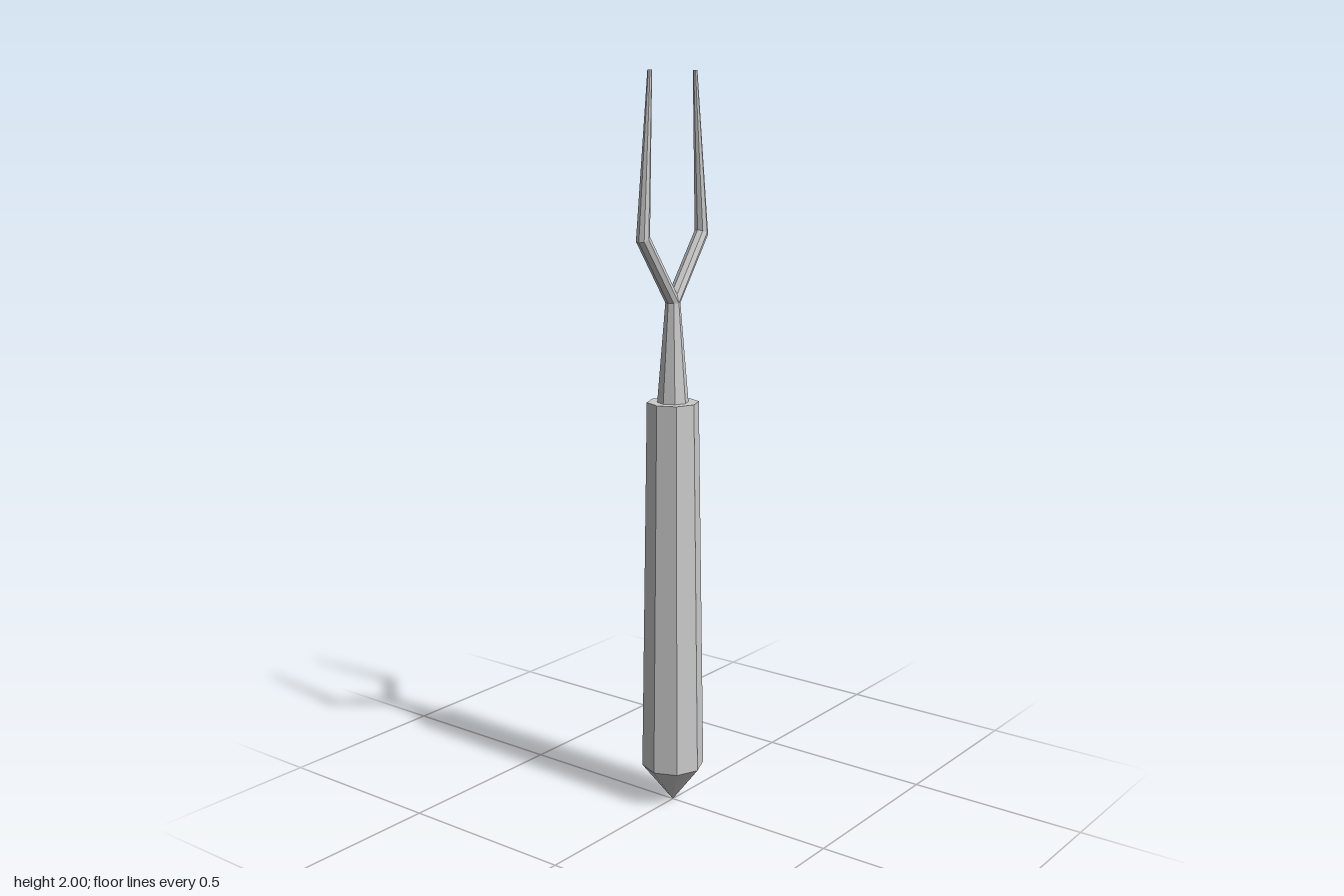
import * as THREE from 'three';

const SIDES = 8;

// Lathed octagonal part from [radius, height] pairs, bottom to top
function lathe(name, points, material) {
  const profile = points.map(([r, y]) => new THREE.Vector2(r, y));
  const mesh = new THREE.Mesh(new THREE.LatheGeometry(profile, SIDES), material);
  mesh.name = name;
  return mesh;
}

// Skin over a stack of rings, closed at the last one
function loft(rings) {
  const pos = rings.flat(2);
  const index = [];
  const top = (rings.length - 1) * SIDES;
  for (let i = 0; i < SIDES; i++) {
    const j = (i + 1) % SIDES;
    for (let a = 0; a < top; a += SIDES) {
      const b = a + SIDES;
      index.push(a + i, b + i, a + j, a + j, b + i, b + j);
    }
    if (i > 0 && j > 0) index.push(top, top + j, top + i);
  }
  const geo = new THREE.BufferGeometry();
  geo.setAttribute('position', new THREE.Float32BufferAttribute(pos, 3));
  geo.setIndex(index);
  geo.computeVertexNormals();
  return geo;
}

function ring(fn) {
  return Array.from({ length: SIDES }, (_, i) => {
    const a = (i / SIDES) * Math.PI * 2;
    return fn(Math.cos(a), Math.sin(a));
  });
}

export function createModel() {
  const group = new THREE.Group();
  group.name = 'carvingFork';
  const flat = new THREE.MeshStandardMaterial({ color: 0xcccccc, flatShading: true });
  const smooth = new THREE.MeshStandardMaterial({ color: 0xcccccc });

  // Handle with a softly shaded pointed butt, and the tapering neck
  group.add(lathe('handleButt', [[0, 0], [0.086, 0.108]], smooth));
  group.add(lathe('handle', [[0.086, 0.108], [0.07, 1.14], [0.042, 1.14]], flat));
  group.add(lathe('neck', [[0.042, 1.14], [0.02, 1.405]], flat));

  // Tine: outer half starts on the neck rim, inner half on the centre plane
  const tineGeometry = loft([
    ring((c, s) => (c > -1e-6 ? [0.02 * c, 1.405, 0.02 * s] : [0, 1.405 - 0.033 * c, 0.02 * s])),
    ring((c, s) => [0.125 + 0.017 * c, 1.58 - 0.008 * c, 0.019 * s]),
    ring((c, s) => [0.095 + 0.006 * c, 2, 0.006 * s]),
  ]);
  ['leftTine', 'rightTine'].forEach((name, i) => {
    const tine = new THREE.Mesh(tineGeometry, flat);
    tine.name = name;
    tine.rotation.y = i * Math.PI;
    group.add(tine);
  });
  return group;
}
